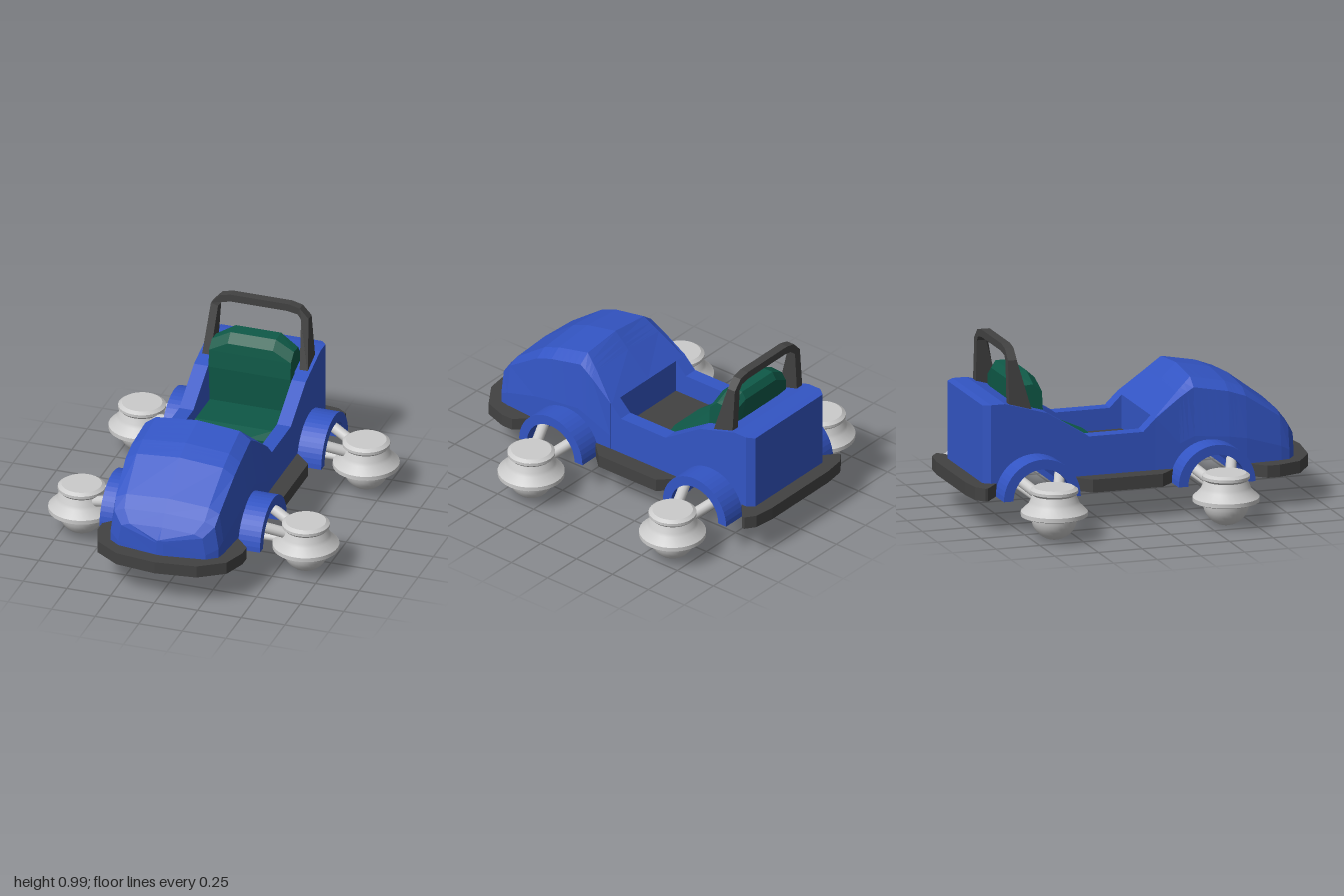
import * as THREE from 'three';
import { toCreasedNormals } from 'three/addons/utils/BufferGeometryUtils.js';
import { ConvexGeometry } from 'three/addons/geometries/ConvexGeometry.js';

const flat = (color) => new THREE.MeshStandardMaterial({ color, flatShading: true });
const blue = flat(0x3355c4), dark = flat(0x424242), green = flat(0x0f5a48);
const grey = new THREE.MeshStandardMaterial({ color: 0xcccccc });

const AXLES = [0.365, -0.635];   // wheel arch centres along z
const BASE = 0.18, ARCH = 0.165;

// Body outline along z: [z, top height, half width]
const OUTLINE = [
  [-0.92, 0.685, 0.29], [-0.88, 0.69, 0.32], [-0.8, 0.69, 0.32], [-0.56, 0.62, 0.32],
  [-0.32, 0.47, 0.32], [-0.01, 0.47, 0.32], [0.285, 0.76, 0.325], [0.48, 0.72, 0.335],
  [0.58, 0.68, 0.335], [0.78, 0.53, 0.32], [0.83, 0.465, 0.31], [0.875, 0.4, 0.25], [0.91, 0.34, 0.02],
];
function outline(z, col) {
  for (let i = 1; i < OUTLINE.length; i++) {
    const a = OUTLINE[i - 1], b = OUTLINE[i];
    if (z <= b[0]) return THREE.MathUtils.lerp(a[col], b[col], (z - a[0]) / (b[0] - a[0]));
  }
  return OUTLINE[OUTLINE.length - 1][col];
}
// Underside height, rising into the wheel arches
function under(z) {
  for (const c of AXLES) {
    const d = Math.abs(z - c);
    if (d <= ARCH) return BASE + 0.005 + Math.sqrt(ARCH * ARCH - d * d);
  }
  return BASE + 0.005;
}
function stations(z0, z1) {
  const list = [z0, z1, ...OUTLINE.map((o) => o[0])];
  for (const c of AXLES) {
    list.push(c - ARCH - 0.001, c + ARCH + 0.001);
    for (let k = 0; k <= 12; k++) list.push(c + ARCH * Math.cos((k * Math.PI) / 12));
  }
  return list.filter((z) => z >= z0 && z <= z1).sort((a, b) => a - b)
    .filter((z, i, all) => i === 0 || z - all[i - 1] > 1e-5);
}
// Closed loft along z; section(z) gives a counter-clockwise ring of [x, y]
function loft(z0, z1, section) {
  const zs = stations(z0, z1), pos = [], index = [];
  const n = section(z0).length;
  zs.forEach((z) => section(z).forEach(([x, y]) => pos.push(x, y, z)));
  for (let i = 0; i < zs.length - 1; i++) {
    for (let j = 0; j < n; j++) {
      const a = i * n + j, b = i * n + ((j + 1) % n);
      index.push(a, b, b + n, a, b + n, a + n);
    }
  }
  const end = (zs.length - 1) * n;
  for (let j = 1; j < n - 1; j++) index.push(0, j + 1, j, end, end + j, end + j + 1);
  const g = new THREE.BufferGeometry();
  g.setAttribute('position', new THREE.Float32BufferAttribute(pos, 3));
  g.setIndex(index);
  const out = g.toNonIndexed();
  out.computeVertexNormals();
  return out;
}
const boxSection = (x0, x1, top) => (z) => {
  const w = outline(z, 2), a = Math.max(x0, -w), b = Math.min(x1, w);
  return [[a, under(z)], [b, under(z)], [b, top ?? outline(z, 1)], [a, top ?? outline(z, 1)]];
};
function hoodSection(z) {
  const top = outline(z, 1), w = outline(z, 2), h = top - BASE;
  const k = THREE.MathUtils.clamp((z - 0.06) / 0.225, 0, 1);
  const half = [
    [w, under(z)], [w, BASE + h * 0.42],
    [w * (1 - 0.07 * k), top - 0.12 * h * k], [w * (0.95 - 0.21 * k), top - 0.04 * h * k],
  ];
  return [...half, [0, top], ...half.map(([x, y]) => [-x, y]).reverse()];
}
// Flat plate from a plan outline of [x, z]
function plate(points, y, height) {
  const shape = new THREE.Shape(points.map(([x, z]) => new THREE.Vector2(x, -z)));
  const g = new THREE.ExtrudeGeometry(shape, { depth: height, bevelEnabled: false });
  return g.rotateX(-Math.PI / 2).translate(0, y, 0);
}
const mirrored = (half) => [...half, ...half.map(([x, z]) => [-x, z]).reverse()];
const hull = (half) => new ConvexGeometry(
  half.flatMap(([x, y, z]) => [new THREE.Vector3(x, y, z), new THREE.Vector3(-x, y, z)]));
function rod(a, b, r) {
  const p = new THREE.Vector3(...a), d = new THREE.Vector3(...b).sub(p);
  const g = new THREE.CylinderGeometry(r, r, d.length(), 14);
  g.applyQuaternion(new THREE.Quaternion().setFromUnitVectors(new THREE.Vector3(0, 1, 0), d.clone().normalize()));
  return g.translate(p.x + d.x / 2, p.y + d.y / 2, p.z + d.z / 2);
}

export function createModel() {
  const model = new THREE.Group();
  const add = (name, geometry, material) => {
    const m = new THREE.Mesh(geometry, material);
    m.name = name;
    model.add(m);
    return m;
  };

  // Body shell around an open cockpit
  add('hood', loft(0.06, 0.91, hoodSection), blue);
  add('rearBody', loft(-0.92, -0.62, boxSection(-0.32, 0.32)), blue);
  add('leftCockpitWall', loft(-0.62, 0.06, boxSection(0.24, 0.32)), blue);
  add('rightCockpitWall', loft(-0.62, 0.06, boxSection(-0.32, -0.24)), blue);
  add('underbody', loft(-0.62, 0.06, boxSection(-0.24, 0.24, 0.342)), blue);
  add('cockpitFloor', new THREE.BoxGeometry(0.48, 0.01, 0.68).translate(0, 0.345, -0.28), dark);

  // Seat
  add('seatCushion', hull([
    [0.235, 0.345, -0.235], [0.235, 0.4, -0.235], [0.1, 0.345, -0.215], [0.1, 0.41, -0.215],
    [0.22, 0.435, -0.3], [0.235, 0.345, -0.6], [0.235, 0.41, -0.6],
  ]), green);
  add('seatBack', hull([
    [0.235, 0.36, -0.575], [0.235, 0.62, -0.555], [0.235, 0.72, -0.56], [0.13, 0.775, -0.565],
    [0.13, 0.82, -0.615], [0.235, 0.765, -0.61], [0.13, 0.82, -0.7], [0.235, 0.76, -0.68],
    [0.13, 0.78, -0.725], [0.235, 0.36, -0.7], [0.235, 0.72, -0.71],
  ]), green);

  // Roll bar, its legs widening forward towards the base
  const barShape = new THREE.Shape(mirrored([
    [0.17, 0.99], [0.23, 0.975], [0.28, 0.92], [0.305, 0.62],
    [0.258, 0.62], [0.238, 0.91], [0.218, 0.937], [0.16, 0.948],
  ]).map(([x, y]) => new THREE.Vector2(x, y)));
  const bar = new THREE.ExtrudeGeometry(barShape, { depth: 0.05, bevelEnabled: false }).translate(0, 0, -0.77);
  const p = bar.attributes.position;
  for (let i = 0; i < p.count; i++) {
    if (p.getZ(i) > -0.75) p.setZ(i, p.getZ(i) + Math.max(0, 0.92 - p.getY(i)) * 0.28);
  }
  bar.computeVertexNormals();
  add('rollBar', bar, dark);

  // Bumpers and side skirts
  add('frontBumper', plate(mirrored([
    [0, 0.995], [0.23, 0.965], [0.37, 0.87], [0.415, 0.74], [0.415, 0.67], [0.33, 0.58],
    [0.3, 0.58], [0.3, 0.81], [0.23, 0.87], [0.01, 0.9],
  ]), BASE, 0.068), dark);
  add('rearBumper', plate(mirrored([
    [0.24, -1], [0.36, -0.985], [0.415, -0.945], [0.415, -0.93], [0.32, -0.85], [0.28, -0.85], [0.26, -0.9],
  ]), BASE, 0.072), dark);
  for (const s of [1, -1]) {
    add(s > 0 ? 'leftSkirt' : 'rightSkirt', plate([
      [0.3, -0.42], [0.325, -0.42], [0.415, -0.33], [0.415, 0.07], [0.335, 0.155], [0.3, 0.155],
    ].map(([x, z]) => [s * x, z]), BASE, 0.072), dark);
  }

  // Fenders, axles, suspension arms and hover pods
  const arch = new THREE.Shape();
  arch.absarc(0, 0, 0.22, 0, Math.PI, false);
  arch.absarc(0, 0, ARCH, Math.PI, 0, true);
  const fender = new THREE.ExtrudeGeometry(arch, { depth: 0.17, bevelEnabled: false, curveSegments: 12 })
    .rotateY(Math.PI / 2);
  const profile = [];
  for (let k = 0; k <= 8; k++) {
    const a = (k / 8) * (Math.PI / 2);
    profile.push(new THREE.Vector2(0.127 * Math.sin(a), 0.13 - 0.13 * Math.cos(a)));
  }
  for (const [r, y] of [[0.165, 0.128], [0.182, 0.135], [0.182, 0.158], [0.14, 0.198], [0.132, 0.215],
    [0.118, 0.25], [0.13, 0.262], [0.13, 0.278], [0.11, 0.292], [0, 0.292]]) profile.push(new THREE.Vector2(r, y));
  const pod = toCreasedNormals(new THREE.LatheGeometry(profile, 32), 0.55);

  AXLES.forEach((c, i) => {
    const end = i ? 'rear' : 'front', z = c - 0.012 + i * 0.017;
    add(end + 'Axle', rod([-0.6, 0.155, z], [0.6, 0.155, z], 0.02), grey);
    for (const s of [1, -1]) {
      const side = end + (s > 0 ? 'Left' : 'Right');
      add(side + 'Fender', fender, blue).position.set(s > 0 ? 0.29 : -0.46, BASE, c);
      add(side + 'Pod', pod, grey).position.set(s * 0.643, 0, z);
      for (const d of [1, -1]) {
        add(side + 'Arm', rod([s * 0.6, 0.21, z + d * 0.035], [s * 0.37, 0.29, z + d * 0.125], 0.03), grey);
      }
    }
  });
  return model;
}
